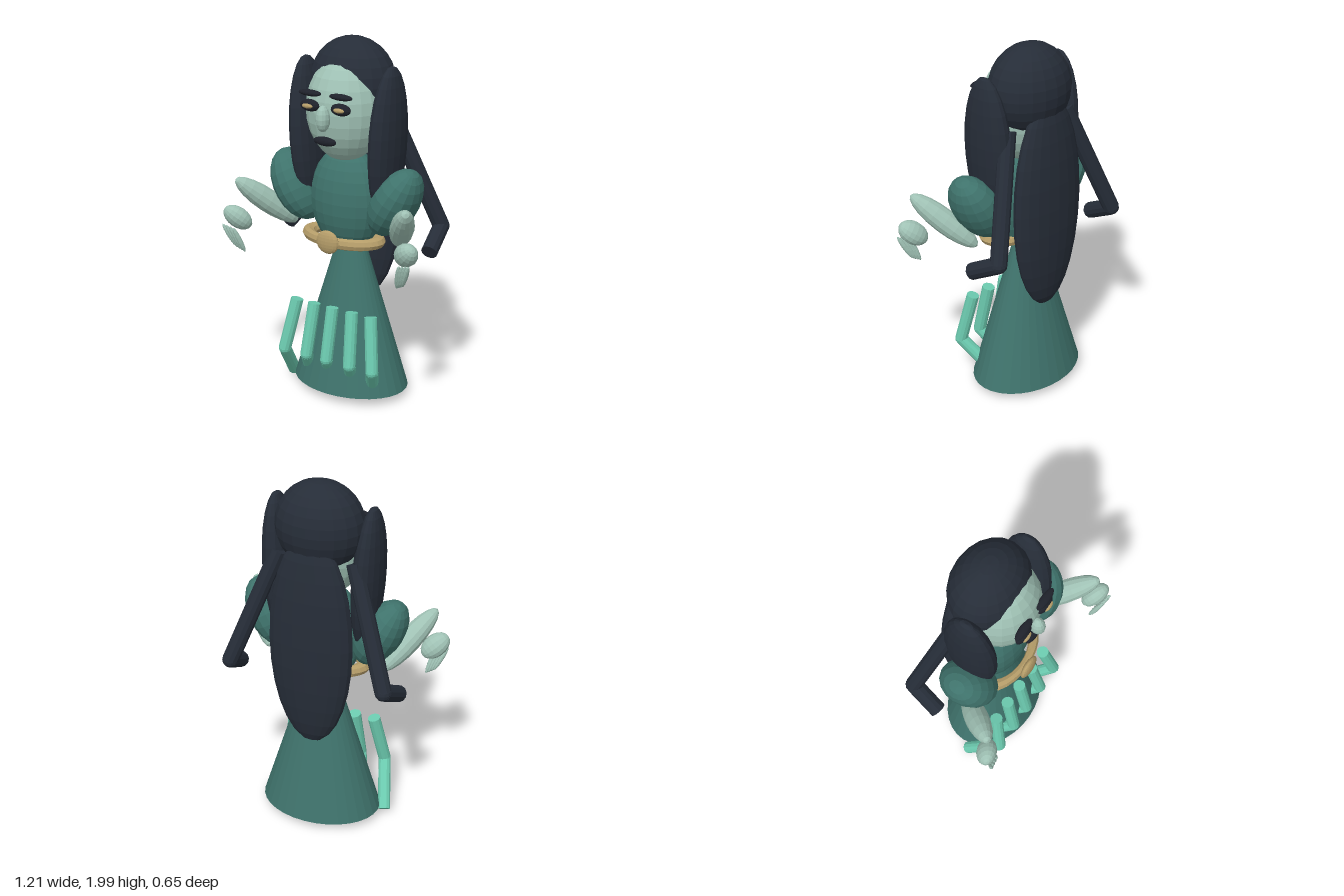
import * as THREE from 'three';

const mat = (name, color) => {
  const m = new THREE.MeshStandardMaterial({ color, flatShading: true });
  m.name = name;
  return m;
};

export function createModel() {
  const model = new THREE.Group();
  model.name = 'gownedFigure';
  const hair = mat('dark hair', 0x262d38);
  const ink = mat('facial ink', 0x1f222b);
  const skin = mat('pale green skin', 0xa0c2b5);
  const dress = mat('teal cloth', 0x3f736c);
  const mint = mat('mint tentacle', 0x6ccbb0);
  const gold = mat('dull gold', 0xb59d69);
  const V = (x, y, z) => new THREE.Vector3(x, y, z);
  const UP = V(0, 1, 0);

  const add = (name, geo, material, pos, parent = model) => {
    const mesh = new THREE.Mesh(geo, material);
    mesh.name = name;
    mesh.position.set(...pos);
    parent.add(mesh);
    return mesh;
  };
  // Faceted ellipsoid; optional axis is the direction of its y radius
  const blob = (name, material, pos, radii, axis, seg = 16) => {
    const mesh = add(name, new THREE.SphereGeometry(1, seg, Math.round(seg * 0.7)), material, pos);
    mesh.scale.set(...radii);
    if (axis) mesh.quaternion.setFromUnitVectors(UP, V(...axis).normalize());
    return mesh;
  };
  // Jointed tube through a few points
  const limb = (name, material, points, r) => {
    const group = new THREE.Group();
    group.name = name;
    for (let i = 0; i < points.length - 1; i++) {
      const a = V(...points[i]), b = V(...points[i + 1]);
      const dir = b.clone().sub(a);
      const mid = a.clone().add(b).multiplyScalar(0.5);
      const seg = add(name + 'Segment', new THREE.CylinderGeometry(r, r, dir.length(), 12), material, mid.toArray(), group);
      seg.quaternion.setFromUnitVectors(UP, dir.normalize());
      if (i > 0) add(name + 'Joint', new THREE.SphereGeometry(r, 12, 8), material, points[i], group);
    }
    model.add(group);
  };

  // Gown
  const skirt = add('skirt', new THREE.CylinderGeometry(0.045, 0.34, 0.945, 32), dress, [0, 0.5275, -0.055]);
  skirt.scale.z = 0.75;
  blob('bodice', dress, [0, 1.13, -0.02], [0.22, 0.29, 0.15], null, 20);

  // Belt and buckle
  const belt = add('belt', new THREE.TorusGeometry(0.21, 0.04, 8, 28).rotateX(Math.PI / 2), gold, [0, 0.925, 0.02]);
  belt.scale.set(1, 0.8, 0.6);
  blob('buckle', gold, [0, 0.935, 0.175], [0.07, 0.065, 0.024]);

  // Head and hair
  blob('head', skin, [0, 1.63, 0], [0.215, 0.285, 0.2], null, 20);
  blob('hairCap', hair, [0, 1.76, -0.07], [0.24, 0.24, 0.195], null, 20);
  blob('backHair', hair, [0, 1.14, -0.2], [0.235, 0.61, 0.09], null, 20);

  // Centre of the face
  blob('nose', skin, [0, 1.615, 0.212], [0.037, 0.07, 0.042], null, 12);
  blob('mouth', ink, [0, 1.492, 0.195], [0.07, 0.024, 0.022], null, 14);

  for (const s of [1, -1]) {
    const side = s > 0 ? 'left' : 'right';

    // Eye and brow
    blob(side + 'Brow', ink, [s * 0.095, 1.735, 0.19], [0.07, 0.017, 0.024], null, 14);
    blob(side + 'Eye', ink, [s * 0.095, 1.67, 0.19], [0.06, 0.032, 0.026], null, 14);
    blob(side + 'Iris', gold, [s * 0.097, 1.67, 0.212], [0.033, 0.013, 0.014], null, 12);

    // Hair framing the face and the long bent strand behind
    blob(side + 'Lock', hair, [s * 0.248, 1.47, -0.02], [0.078, 0.41, 0.152], [s * 0.05, 1, 0], 18);
    limb(side + 'Strand', hair,
      [[s * 0.21, 1.6, -0.12], [s * 0.435, 0.98, -0.275], [s * 0.46, 0.885, -0.105]], 0.045);

    // Arm
    blob(side + 'PuffSleeve', dress, [s * 0.312, 1.165, 0.003], [0.12, 0.21, 0.155], [s * 0.5, 0.87, 0]);
    blob(side + 'Forearm', skin, [s * 0.43, 1.08, 0.13], [0.064, 0.222, 0.064], [s * 0.2, 0.27, 0.27], 14);
    blob(side + 'Hand', skin, [s * 0.533, 0.998, 0.26], [0.062, 0.088, 0.052], [s * 0.6, 0.55, 0.4], 14);

    // Fingers curl down and inward
    for (let i = 0; i < 4; i++) {
      blob(side + 'Finger', skin, [s * (0.556 - i * 0.017), 0.9 - i * 0.006, 0.302 - i * 0.004],
        [0.015, 0.08, 0.015], [s * (0.06 - i * 0.008), 0.13, 0.045], 10);
    }
  }

  // Row of tentacles: top, knee and tip x for each
  const tentacles = [
    [-0.24, -0.29, -0.36], [-0.125, -0.142, -0.23], [-0.005, -0.01, -0.095],
    [0.12, 0.14, 0.04], [0.24, 0.285, 0.175],
  ];
  for (const [top, knee, tip] of tentacles) {
    limb('tentacle', mint, [[top, 0.54, 0.123], [knee, 0.25, 0.178], [tip, 0.033, -0.005]], 0.035);
  }
  return model;
}
